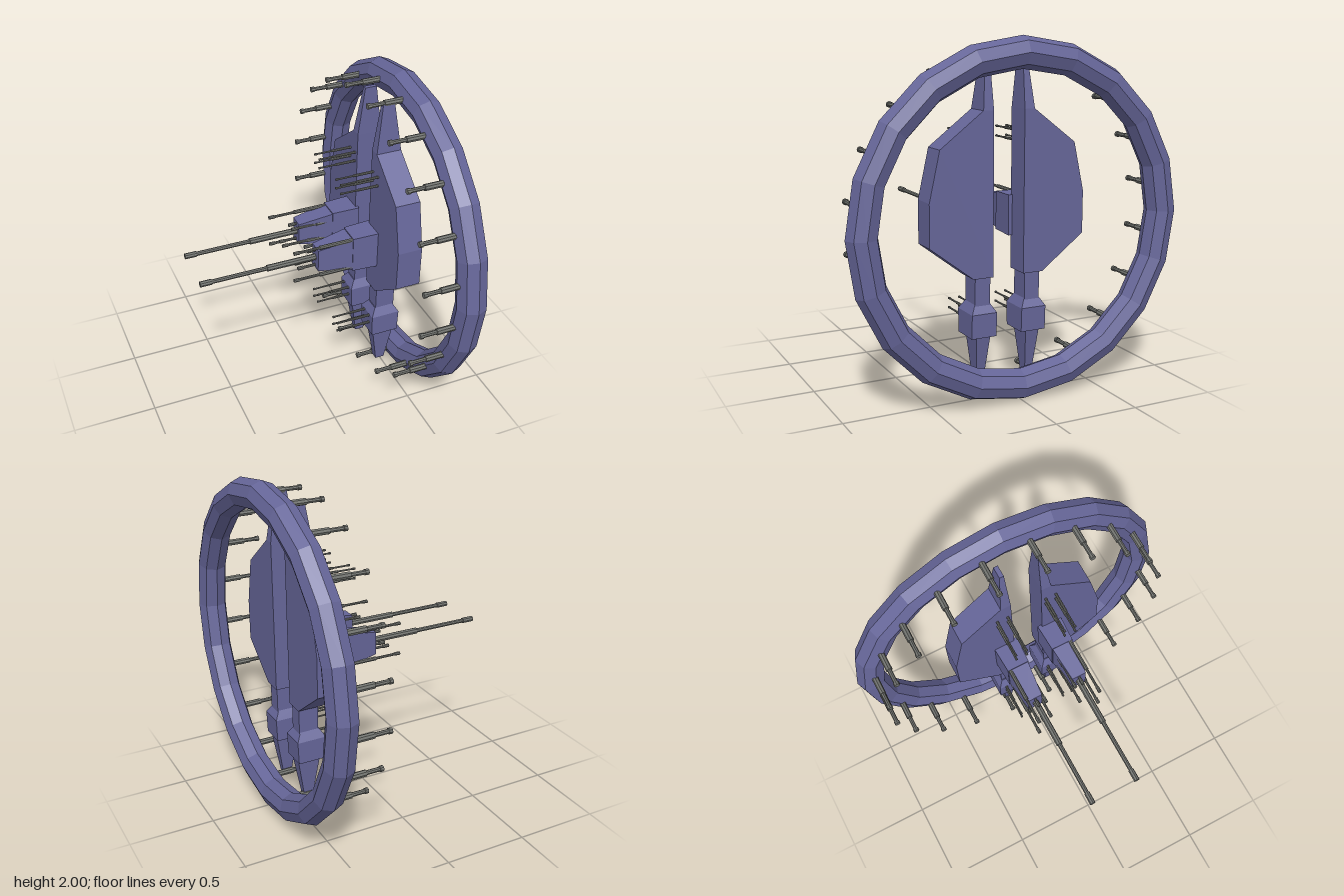
import * as THREE from 'three';

const hull = new THREE.MeshStandardMaterial({ color: 0x666699, flatShading: true });
hull.name = 'slate violet hull';
const metal = new THREE.MeshStandardMaterial({ color: 0x70726e, flatShading: true });
metal.name = 'gun grey';

function add(parent, name, geometry, material) {
  const mesh = new THREE.Mesh(geometry, material);
  mesh.name = name;
  parent.add(mesh);
  return mesh;
}

// Upright block whose bottom and top rectangles differ: [y, halfX, halfZ, centreZ]
function taperedBlock(bottom, top, cx) {
  const g = new THREE.BoxGeometry(2, 2, 2);
  const p = g.attributes.position;
  for (let i = 0; i < p.count; i++) {
    const [y, hx, hz, cz] = p.getY(i) > 0 ? top : bottom;
    p.setXYZ(i, cx + p.getX(i) * hx, y, cz + p.getZ(i) * hz);
  }
  g.computeVertexNormals();
  return g;
}

// Stepped barrel pointing to -x, from breech x0 to muzzle x1: sleeve, barrel, muzzle
function gun(parent, name, x0, step, tip, x1, r, y, z) {
  const L = x0 - x1, a = x0 - step, b = x0 - tip;
  const profile = [[0, 0], [r, 0], [r, a], [r * 0.68, a], [r * 0.68, b], [r * 0.9, b], [r * 0.9, L], [0, L]];
  const g = new THREE.LatheGeometry(profile.map(([u, v]) => new THREE.Vector2(u, v)), 8);
  g.rotateZ(Math.PI / 2);
  add(parent, name, g, metal).position.set(x0, y, z);
}

// One blade hull with its turret and guns; s = +1 or -1 is the outward z direction
function blade(name, s) {
  const group = new THREE.Group();
  group.name = name;
  const Z = (d) => 0.028 + s * d; // distance from the plane between the blades

  // Broad angular plate
  const outline = [[0.094, 0.69], [0.214, 0.69], [0.474, 0.887], [0.474, 1.13], [0.412, 1.41], [0.156, 1.605], [0.094, 1.605]];
  const shape = new THREE.Shape(outline.map(([d, y]) => new THREE.Vector2(Z(d), y)));
  const plate = new THREE.ExtrudeGeometry(shape, { depth: 0.15, bevelEnabled: false });
  plate.rotateY(-Math.PI / 2).translate(0.515, 0, 0);
  add(group, 'bladePlate', plate, hull);

  // Spire, neck, engine bulb and tail
  const c = Z(0.154);
  const blocks = [
    ['spire', [1.605, 0.075, 0.031, Z(0.125)], [1.89, 0.035, 0.013, Z(0.114)], 0.44],
    ['neck', [0.53, 0.06, 0.046, c], [0.7, 0.06, 0.046, c], 0.445],
    ['bulbShoulder', [0.492, 0.09, 0.076, c], [0.542, 0.06, 0.046, c], 0.44],
    ['bulb', [0.355, 0.085, 0.076, c], [0.492, 0.09, 0.076, c], 0.44],
    ['tail', [0.1, 0.028, 0.022, c], [0.355, 0.07, 0.042, c], 0.445],
  ];
  for (const [n, bottom, top, cx] of blocks) add(group, n, taperedBlock(bottom, top, cx), hull);

  // Turret: blocks built upright, then turned to point along -x
  const turret = (n, bottom, top) => {
    const g = taperedBlock(bottom, top, 0);
    g.rotateZ(Math.PI / 2).translate(0, 0.998, Z(0.147));
    add(group, n, g, hull);
  };
  turret('turretBase', [-0.38, 0.116, 0.076, 0], [-0.21, 0.112, 0.068, 0]);
  turret('turretNose', [-0.21, 0.105, 0.064, 0], [0, 0.07, 0.045, 0]);

  // Main cannon and the smaller guns around it
  gun(group, 'mainCannon', 0.24, -0.3, -0.63, -0.7, 0.019, 1, Z(0.145));
  const small = [
    [1.097, 0.2, -0.155], [0.906, 0.2, -0.155], [1.05, 0.147, -0.05],
    [0.945, 0.147, -0.11], [1.05, 0.098, -0.05], [0.945, 0.098, -0.11],
  ];
  for (const [y, d, x] of small) gun(group, 'turretGun', x + 0.38, x + 0.16, x + 0.035, x, 0.012, y, Z(d));

  // Light guns on the plate and on the bulb
  for (const y of [1.477, 1.42, 0.485, 0.43]) {
    for (const d of [0.12, 0.185]) gun(group, 'lightGun', 0.38, 0.24, 0.145, 0.132, 0.008, y, Z(d));
  }
  return group;
}

export function createModel() {
  const model = new THREE.Group();
  model.name = 'ringShip';

  // Faceted ring
  const ring = new THREE.TorusGeometry(0.912, 0.088, 8, 20);
  ring.rotateY(Math.PI / 2);
  add(model, 'ring', ring, hull).position.set(0.604, 1, 0);

  // Guns spaced around the ring
  for (let i = 0; i < 20; i++) {
    const a = ((i + 0.5) * Math.PI) / 10;
    gun(model, 'ringGun', 0.54, 0.415, 0.332, 0.312, 0.019, 1 + 0.905 * Math.sin(a), 0.905 * Math.cos(a));
  }

  model.add(blade('frontBlade', 1), blade('backBlade', -1));
  return model;
}
